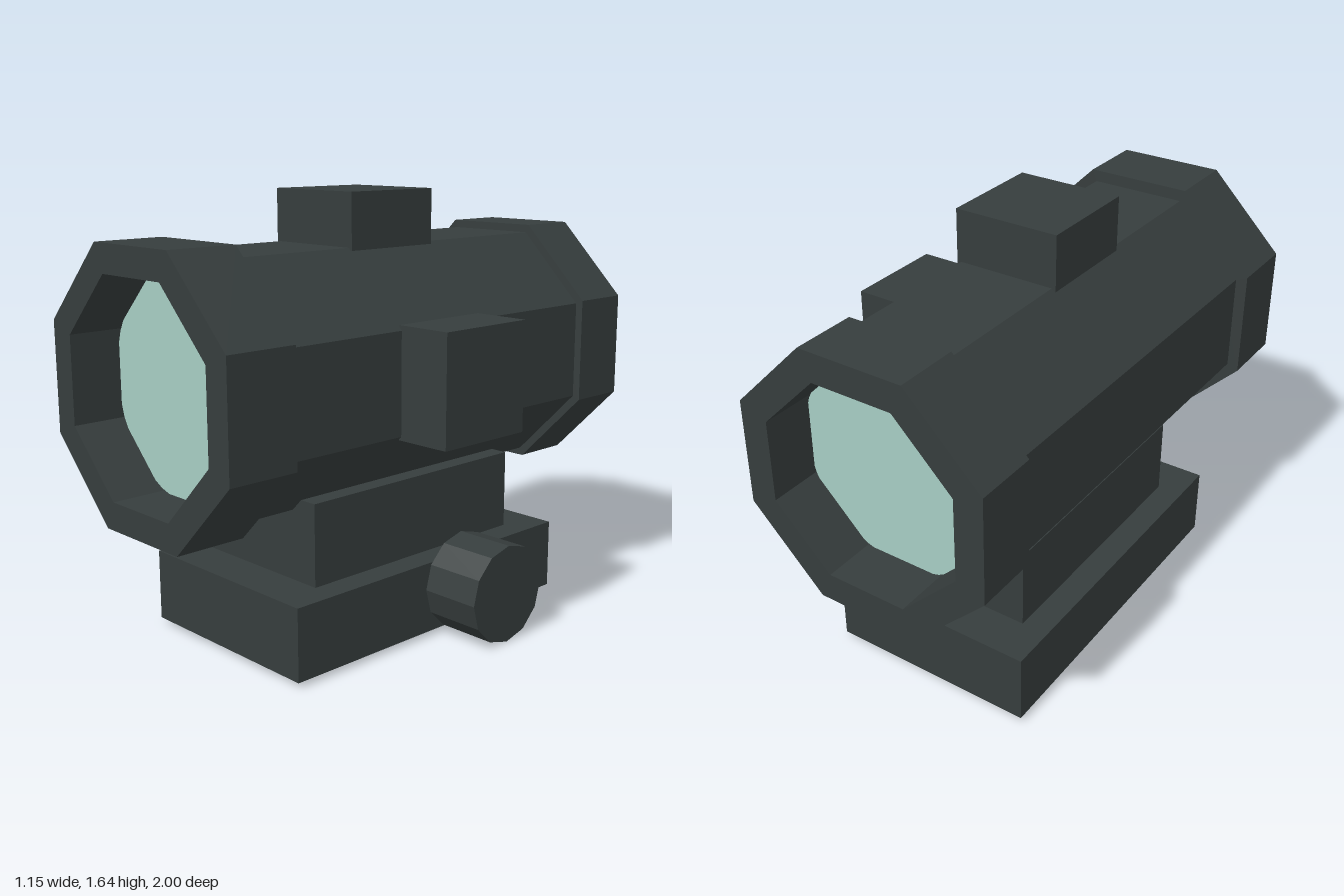
import * as THREE from 'three';

const AXIS_X = -0.085, AXIS_Y = 1.0;

// Octagon with flat top and sides, given its centre-to-flat distance
function octagon(apothem, PathType) {
  const r = apothem / Math.cos(Math.PI / 8);
  const points = [];
  for (let i = 0; i < 8; i++) {
    const a = Math.PI / 8 + (i * Math.PI) / 4;
    points.push(new THREE.Vector2(r * Math.cos(a), r * Math.sin(a)));
  }
  return new PathType(points);
}

export function createModel() {
  const model = new THREE.Group();
  model.name = 'opticalSight';

  const bodyMat = new THREE.MeshStandardMaterial({ color: 0x363d3d });
  bodyMat.name = 'darkBody';
  const lensMat = new THREE.MeshStandardMaterial({ color: 0xa6cdc3 });
  lensMat.name = 'paleGreenGlass';

  function add(name, geometry, material, x, y, z) {
    const mesh = new THREE.Mesh(geometry, material);
    mesh.name = name;
    mesh.position.set(x, y, z);
    model.add(mesh);
    return mesh;
  }

  // Hollow octagonal section running from z0 to z1
  function section(name, outer, bore, z0, z1) {
    const shape = octagon(outer, THREE.Shape);
    shape.holes.push(octagon(bore, THREE.Path));
    const geo = new THREE.ExtrudeGeometry(shape, { depth: z1 - z0, bevelEnabled: false });
    add(name, geo, bodyMat, AXIS_X, AXIS_Y, z0);
  }

  // Box given by its limits on each axis
  function block(name, [x0, x1], [y0, y1], [z0, z1]) {
    add(name, new THREE.BoxGeometry(x1 - x0, y1 - y0, z1 - z0), bodyMat,
      (x0 + x1) / 2, (y0 + y1) / 2, (z0 + z1) / 2);
  }

  // Thin round glass disc facing along z
  function lens(name, radius, z) {
    const geo = new THREE.CylinderGeometry(radius, radius, 0.008, 32);
    geo.rotateX(Math.PI / 2);
    add(name, geo, lensMat, AXIS_X, AXIS_Y, z);
  }

  // Tube with its wider end rims
  section('mainTube', 0.45, 0.392, -0.76, 0.73);
  section('frontRim', 0.495, 0.392, 0.73, 1);
  section('rearRim', 0.48, 0.372, -1, -0.76);
  lens('frontLens', 0.41, 0.8);
  lens('rearLens', 0.395, -0.8);

  // Adjustment turrets
  block('topTurret', [-0.287, 0.117], [1.44, 1.645], [-0.185, 0.218]);
  block('sideTurret', [0.355, 0.575], [0.8, 1.205], [-0.185, 0.218]);

  // Mount
  block('riser', [-0.387, 0.217], [0.29, 0.595], [-0.525, 0.492]);
  block('baseClamp', [-0.49, 0.32], [0.02, 0.29], [-0.69, 0.662]);

  // Clamp knob on the left side, twelve flat sides
  const knobGeo = new THREE.CylinderGeometry(0.187, 0.187, 0.235, 12).toNonIndexed();
  knobGeo.rotateZ(Math.PI / 2);
  knobGeo.computeVertexNormals();
  add('clampKnob', knobGeo, bodyMat, 0.4385, 0.188, -0.15);

  return model;
}
